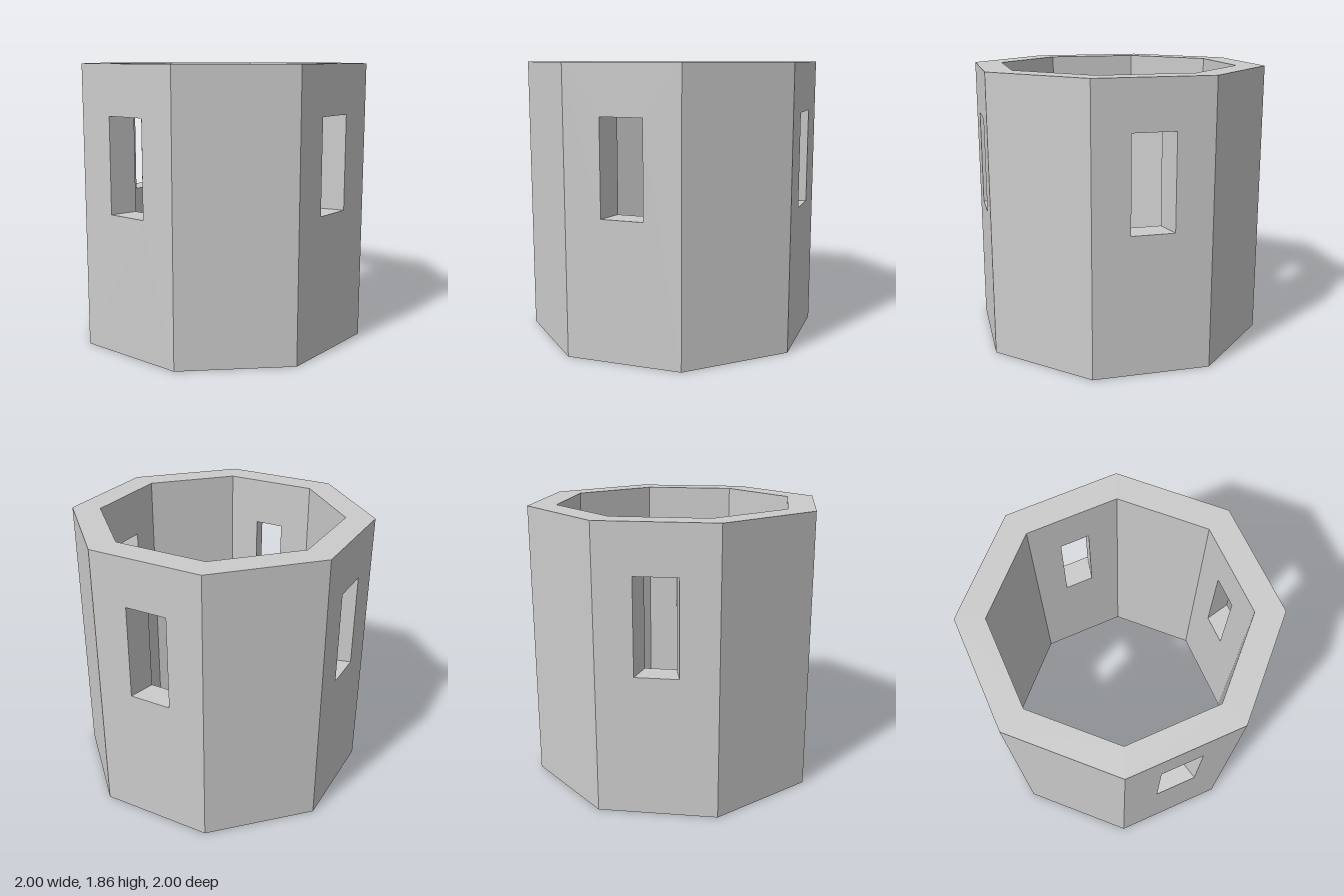
import * as THREE from 'three';

const SIDES = 8, HEIGHT = 1.86, OUTER = 1, INNER = 0.81;
const WINDOW = { bottom: 0.914, top: 1.538, outerHalf: 0.14, innerHalf: 0.1 };
const HALF = Math.PI / SIDES;

// Upright rectangle facing +z at a given depth, corners counter-clockwise
function rect(halfWidth, bottom, top, depth) {
  return [[-halfWidth, bottom], [halfWidth, bottom], [halfWidth, top], [-halfWidth, top]]
    .map(([x, y]) => new THREE.Vector3(x, y, depth));
}

function quad(points, a, b, c, d) {
  points.push(a, b, c, a, c, d);
}

// Joins chosen edges of two rectangles with quads
function bridge(points, p, q, edges = [0, 1, 2, 3]) {
  for (const i of edges) {
    const j = (i + 1) % 4;
    quad(points, p[i], p[j], q[j], q[i]);
  }
}

// One side of the tower wall, with mitred ends left open against its neighbours
function wallGeometry(hasWindow) {
  const points = [];
  const outerDepth = OUTER * Math.cos(HALF), innerDepth = INNER * Math.cos(HALF);
  const outer = rect(OUTER * Math.sin(HALF), 0, HEIGHT, outerDepth);
  const inner = rect(INNER * Math.sin(HALF), 0, HEIGHT, innerDepth);
  if (hasWindow) {
    // The window narrows towards the inside
    const outerHole = rect(WINDOW.outerHalf, WINDOW.bottom, WINDOW.top, outerDepth);
    const innerHole = rect(WINDOW.innerHalf, WINDOW.bottom, WINDOW.top, innerDepth);
    bridge(points, outer, outerHole);
    bridge(points, outerHole, innerHole);
    bridge(points, innerHole, inner);
  } else {
    quad(points, ...outer);
    quad(points, ...[...inner].reverse());
  }
  bridge(points, inner, outer, [0, 2]); // bottom and top rims
  const geometry = new THREE.BufferGeometry().setFromPoints(points);
  geometry.computeVertexNormals();
  return geometry;
}

export function createModel() {
  const model = new THREE.Group();
  model.name = 'octagonalTower';
  const material = new THREE.MeshStandardMaterial({ color: 0xcccccc, flatShading: true });
  const windowWall = wallGeometry(true), plainWall = wallGeometry(false);

  // Windowed and plain walls alternate around the ring
  for (let k = 0; k < SIDES; k++) {
    const hasWindow = k % 2 === 1;
    const wall = new THREE.Mesh(hasWindow ? windowWall : plainWall, material);
    wall.name = hasWindow ? 'windowWall' : 'plainWall';
    wall.rotation.y = HALF * (2 * k + 1);
    model.add(wall);
  }
  return model;
}
